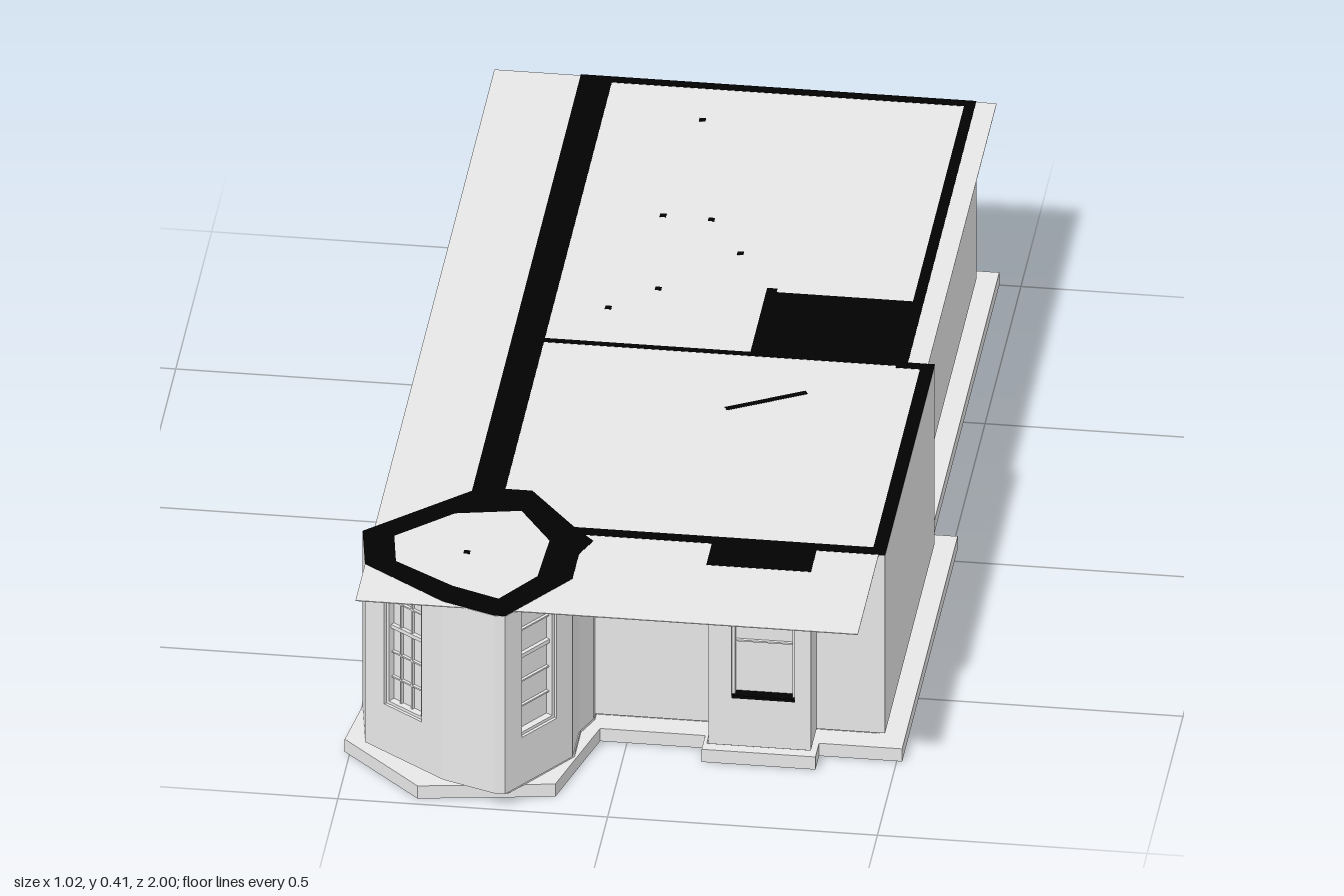
import * as THREE from 'three';

const plaster = new THREE.MeshStandardMaterial({ color: 0xe8e8e8 });
plaster.name = 'pale grey plaster';
const black = new THREE.MeshStandardMaterial({ color: 0x020202 });
black.name = 'black section cut';

// Outline of the walls as [x, z], from the back left corner round by the right side
const outline = [
  [-0.31, -0.958], [0.423, -0.958], [0.423, 0], [0.473, 0], [0.473, 0.69], [0.346, 0.69],
  [0.346, 0.77], [0.156, 0.77], [0.156, 0.69], [-0.065, 0.69], [-0.065, 0.71], [-0.085, 0.76],
  [-0.085, 0.85], [-0.19, 1], [-0.21, 1], [-0.31, 0.963], [-0.47, 0.847], [-0.49, 0.73], [-0.31, 0.56],
];
const footing = [
  [-0.34, -1], [0.46, -1], [0.46, -0.045], [0.51, -0.045], [0.51, 0.73], [0.356, 0.73],
  [0.356, 0.78], [0.145, 0.78], [0.145, 0.73], [-0.05, 0.73], [-0.105, 0.94], [-0.355, 0.98],
  [-0.51, 0.83], [-0.48, 0.61], [-0.34, 0.5],
];
const bayOuter = [
  [-0.49, 0.73], [-0.31, 0.56], [-0.25, 0.545], [-0.2, 0.545], [-0.11, 0.66], [-0.065, 0.71], [-0.085, 0.76],
  [-0.085, 0.85], [-0.19, 1], [-0.21, 1], [-0.31, 0.963], [-0.47, 0.847],
];
const bayInner = [
  [-0.43, 0.74], [-0.33, 0.645], [-0.21, 0.62], [-0.145, 0.72], [-0.15, 0.85], [-0.21, 0.94], [-0.3, 0.905], [-0.415, 0.83],
];
// Underside of the floor inside the walls
const floorInside = [
  [-0.28, -0.94], [0.4, -0.94], [0.4, 0.015], [0.45, 0.015], [0.45, 0.665], [-0.14, 0.665],
  [-0.14, 0.85], [-0.2, 0.94], [-0.3, 0.91], [-0.42, 0.83], [-0.43, 0.74], [-0.33, 0.645], [-0.28, 0.62],
];

const WALL_BOTTOM = 0.034, WALL_TOP = 0.413, THICK = 0.03;
const LEDGE = 0.027, CUT = [0.4137, 0.4145];

function add(parent, name, geometry, material) {
  const mesh = new THREE.Mesh(geometry, material);
  mesh.name = name;
  parent.add(mesh);
  return mesh;
}

function box(parent, name, material, x0, x1, y0, y1, z0, z1) {
  const mesh = add(parent, name, new THREE.BoxGeometry(x1 - x0, y1 - y0, z1 - z0), material);
  mesh.position.set((x0 + x1) / 2, (y0 + y1) / 2, (z0 + z1) / 2);
  return mesh;
}

// Flat slab from a plan outline, with an optional hole
function slab(parent, name, material, points, y0, y1, hole) {
  const toPlan = (list) => list.map(([x, z]) => new THREE.Vector2(x, -z));
  const shape = new THREE.Shape(toPlan(points));
  if (hole) shape.holes.push(new THREE.Path(toPlan(hole)));
  const geometry = new THREE.ExtrudeGeometry(shape, { depth: y1 - y0, bevelEnabled: false });
  geometry.rotateX(-Math.PI / 2);
  add(parent, name, geometry, material).position.y = y0;
}

const rect = (PathType, x0, y0, x1, y1) => new PathType([
  new THREE.Vector2(x0, y0), new THREE.Vector2(x1, y0), new THREE.Vector2(x1, y1), new THREE.Vector2(x0, y1),
]);

// Group whose +x runs along the edge from a to b and whose +z points inward
function edgeGroup(parent, name, a, b) {
  const dx = b[0] - a[0], dz = b[1] - a[1];
  const group = new THREE.Group();
  group.name = name;
  group.position.set(a[0], 0, a[1]);
  group.rotation.y = Math.atan2(-dz, dx);
  parent.add(group);
  return { group, length: Math.hypot(dx, dz) };
}

// Calls fn for each edge of a closed outline
const eachEdge = (points, fn) => points.forEach((p, i) => fn(p, points[(i + 1) % points.length], i));

// Sash window set in an opening
function addWindow(parent, w) {
  const group = new THREE.Group();
  group.name = 'sashWindow';
  parent.add(group);
  const x0 = w.x - w.width / 2, x1 = w.x + w.width / 2, y0 = 0.135, y1 = w.top, f = 0.006;
  const mid = 0.298;
  box(group, 'pane', plaster, x0, x1, y0, y1, 0.02, 0.024);
  for (const [a, b] of [[x0, x0 + f], [x1 - f, x1]]) box(group, 'frameSide', plaster, a, b, y0, y1, 0.006, 0.022);
  box(group, 'frameTop', plaster, x0, x1, y1 - f, y1, 0.006, 0.022);
  box(group, 'frameSill', w.blackSill ? black : plaster, x0, x1, y0, y0 + f, w.blackSill ? -0.001 : 0.006, 0.022);
  box(group, 'meetingRail', plaster, x0, x1, mid - 0.004, mid + 0.004, 0.012, 0.022);
  for (const t of w.uprights) {
    const x = x0 + t * w.width;
    box(group, 'uprightBar', plaster, x - 0.0015, x + 0.0015, y0, y1, 0.014, 0.022);
  }
  for (const y of w.crossBars) box(group, 'crossBar', plaster, x0, x1, y - 0.0015, y + 0.0015, 0.014, 0.022);
}

// Wall panel between two plan points, with window openings
function addWall(parent, a, b, windows) {
  const { group, length } = edgeGroup(parent, 'wall', a, b);
  const shape = rect(THREE.Shape, 0, WALL_BOTTOM, length, WALL_TOP);
  for (const w of windows) {
    shape.holes.push(rect(THREE.Path, w.x - w.width / 2, 0.135, w.x + w.width / 2, w.top));
    addWindow(group, w);
  }
  add(group, 'wallPanel', new THREE.ExtrudeGeometry(shape, { depth: THICK, bevelEnabled: false }), plaster);
}

export function createModel() {
  const model = new THREE.Group();
  model.name = 'house';

  // Hollow footing: thin skirt with a ledge on top
  eachEdge(footing, (a, b) => {
    const { group, length } = edgeGroup(model, 'footingSide', a, b);
    box(group, 'skirt', plaster, 0, length, 0, LEDGE, 0, 0.002);
  });
  slab(model, 'footingLedge', plaster, footing, LEDGE - 0.002, LEDGE);

  // Floor and its black underside
  slab(model, 'floor', plaster, outline.map(([x, z]) => [x * 0.975, z * 0.985]), LEDGE, WALL_BOTTOM);
  slab(model, 'floorUnderside', black, floorInside, LEDGE - 0.003, LEDGE - 0.0015);
  box(model, 'floorEdge', black, 0.423, 0.463, LEDGE, WALL_BOTTOM - 0.001, -0.045, 0.005);

  // Walls; windows listed by the index of the wall's first point
  const sash = { top: 0.405, uprights: [0.4, 0.7], crossBars: [0.19, 0.243, 0.352] };
  const bare = { ...sash, uprights: [] };
  const windows = {
    6: [{ x: 0.088, width: 0.118, top: 0.41, uprights: [], crossBars: [0.25], blackSill: true }],
    12: [{ ...bare, x: 0.09, width: 0.094 }],
    15: [{ ...sash, x: 0.102, width: 0.094 }],
    17: [{ ...bare, x: 0.125, width: 0.1 }],
    18: [-0.78, -0.47, -0.16, 0.15, 0.47].map((z) => ({ ...sash, x: 0.56 - z, width: 0.14 })),
  };
  eachEdge(outline, (a, b, i) => addWall(model, a, b, windows[i] || []));

  // Thin trim of the side door
  box(model, 'doorTrimUpright', plaster, 0.421, 0.4245, WALL_BOTTOM, 0.265, -0.252, -0.249);
  box(model, 'doorTrimTop', plaster, 0.421, 0.4245, 0.262, 0.265, -0.32, -0.249);

  // Ceiling sheet
  box(model, 'ceiling', plaster, -0.47, 0.461, WALL_TOP - 0.0005, 0.414, -0.955, 0.98);

  // Black cut tops of the walls
  const cuts = [
    [-0.31, -0.25, -0.958, 0.6], [-0.31, 0.423, -0.958, -0.937], [0.403, 0.423, -0.958, 0],
    [-0.25, 0.423, -0.005, 0.009], [0.403, 0.473, -0.005, 0.016], [0.448, 0.473, 0, 0.69],
    [-0.11, 0.473, 0.665, 0.69], [0.152, 0.346, 0.665, 0.768], [0.131, 0.423, -0.225, 0], [0.131, 0.15, -0.238, -0.2],
  ];
  for (const [x0, x1, z0, z1] of cuts) box(model, 'wallTop', black, x0, x1, ...CUT, z0, z1);
  slab(model, 'bayWallTop', black, bayOuter, ...CUT, bayInner);

  // Small ceiling fittings
  const spots = [
    [-0.067, -0.825], [-0.093, -0.473], [-0.003, -0.47], [0.066, -0.356], [-0.067, -0.21], [-0.149, -0.13], [-0.29, 0.78],
  ];
  for (const [x, z] of spots) box(model, 'ceilingSpot', black, x - 0.006, x + 0.006, ...CUT, z - 0.006, z + 0.006);
  const slot = box(model, 'ceilingSlot', black, -0.08, 0.08, ...CUT, -0.006, 0.006);
  slot.position.x = 0.183;
  slot.position.z = 0.165;
  slot.rotation.y = 0.51;

  return model;
}
